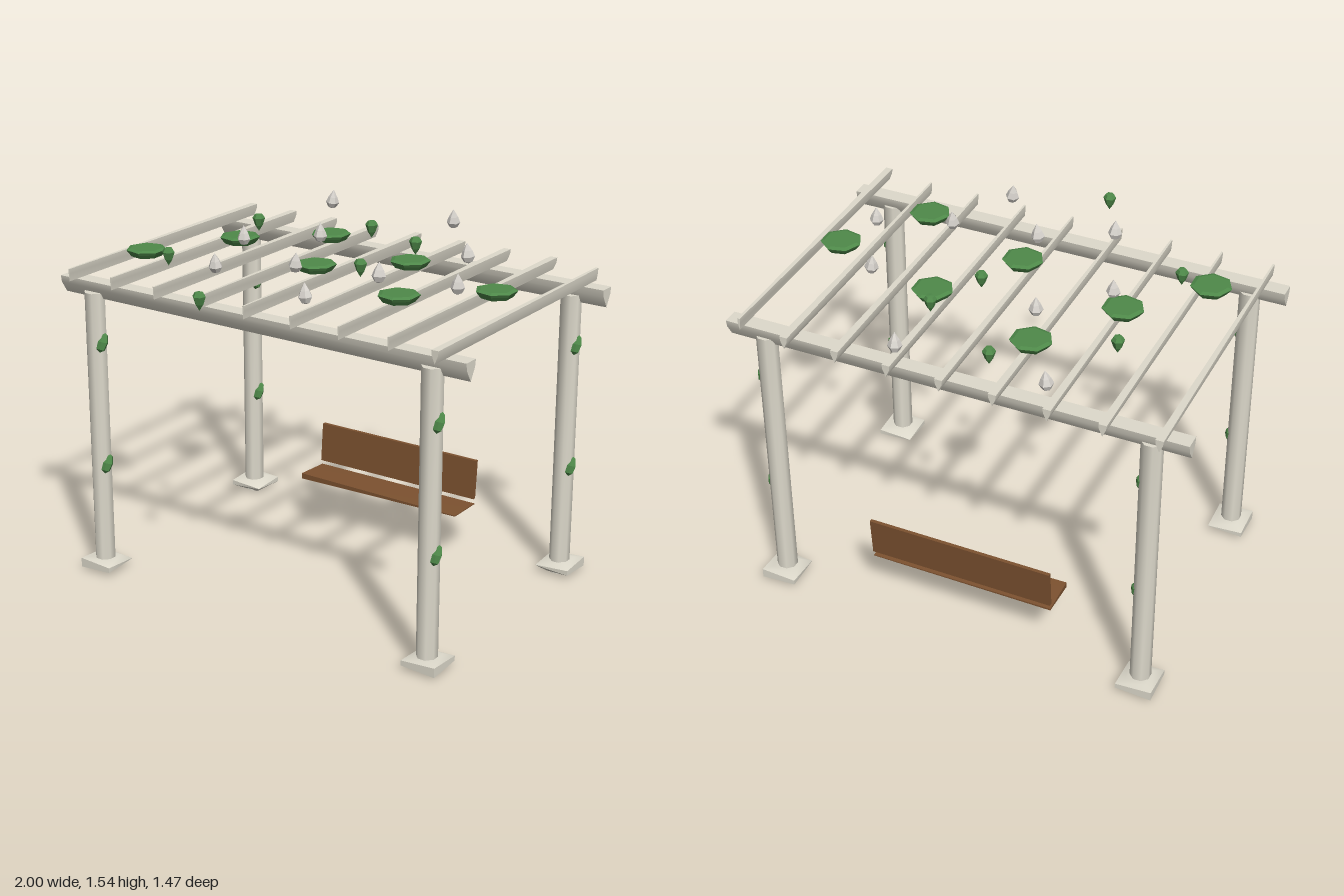
import * as THREE from 'three';
import { toCreasedNormals } from 'three/addons/utils/BufferGeometryUtils.js';

const material = (color, flatShading = false) =>
  new THREE.MeshStandardMaterial({ color, flatShading });

// Closed solid through rings of 3D points, counter-clockwise seen from the end
function loft(rings, crease = 0.9) {
  const n = rings[0].length, last = (rings.length - 1) * n, index = [];
  for (let i = 0; i < rings.length - 1; i++) {
    for (let j = 0; j < n; j++) {
      const a = i * n + j, b = i * n + (j + 1) % n;
      index.push(a, b, b + n, a, b + n, a + n);
    }
  }
  for (let j = 1; j < n - 1; j++) {
    index.push(0, j + 1, j, last, last + j, last + j + 1);
  }
  const g = new THREE.BufferGeometry();
  g.setAttribute('position', new THREE.Float32BufferAttribute(rings.flat(2), 3));
  g.setIndex(index);
  return toCreasedNormals(g, crease);
}

// Keel-shaped cross-section: flat top, pointed underside
const keel = (w, top, bottom, z) => {
  const shoulder = top - (top - bottom) * 0.38;
  return [[-w, top, z], [-w * 0.85, shoulder, z], [0, bottom, z],
    [w * 0.85, shoulder, z], [w, top, z]];
};

export function createModel() {
  const model = new THREE.Group();
  model.name = 'pergola';
  const paint = material(0xdedacc), wood = material(0x7d5230);
  const petal = material(0xd6d2cc, true), green = material(0x4f8a4a, true);

  const add = (name, geometry, mat, x = 0, y = 0, z = 0, parent = model) => {
    const mesh = new THREE.Mesh(geometry, mat);
    mesh.name = name;
    mesh.position.set(x, y, z);
    parent.add(mesh);
    return mesh;
  };

  // Posts, each with a wedge-edged foot and two climbing leaves
  const postGeo = toCreasedNormals(
    new THREE.CylinderGeometry(0.045, 0.045, 1.285, 8).rotateY(Math.PI / 8), 0.9);
  const leafGeo = new THREE.SphereGeometry(1, 6, 4).scale(0.026, 0.046, 0.028);
  const corners = [[1, 1], [1, -1], [-1, -1], [-1, 1]];
  for (const s of [-1, 1]) {
    for (const [q, z] of [[1, 0.5], [-1, -0.615]]) {
      const post = new THREE.Group();
      post.name = (q > 0 ? 'front' : 'back') + (s > 0 ? 'Left' : 'Right') + 'Post';
      post.position.set(s * 0.838, 0, z);
      model.add(post);
      add('postShaft', postGeo, paint, 0, 0.6475, 0, post);

      // The foot's rim is thick on the outside and thin on the inside
      const ring = (r, y, side) => corners.map(([x, d]) =>
        [x * r, y + side * (0.011 + 0.005 * (x * s + d * q)), d * r]);
      add('foot', loft([ring(0.04, 0.005, 0), ring(0.079, 0.037, -1),
        ring(0.079, 0.037, 1), ring(0.045, 0.062, 0)]), paint, 0, 0, -0.006, post);

      for (const y of [0.515, 1.07]) {
        add('climbingLeaf', leafGeo, green, 0.035, y, 0.005, post).rotation.x = -0.4;
      }
    }
  }

  // Long beams along x
  const beamGeo = loft([keel(0.035, 1.34, 1.262, -1), keel(0.035, 1.337, 1.255, 1)])
    .rotateY(Math.PI / 2);
  add('frontBeam', beamGeo, paint, 0, 0, 0.492);
  add('backBeam', beamGeo, paint, 0, 0, -0.622);

  // Rafters taper towards the front; the last one tapers towards the back
  const rafterGeo = loft([keel(0.017, 1.395, 1.34, -0.735), keel(0.004, 1.395, 1.34, 0.575)]);
  const endRafterGeo = loft([keel(0.006, 1.395, 1.34, -0.695), keel(0.016, 1.395, 1.34, 0.61)]);
  for (let i = 0; i < 9; i++) {
    add('rafter', i < 8 ? rafterGeo : endRafterGeo, paint, -0.908 + i * 0.2275);
  }

  // Bench: wedge-shaped seat and a slightly reclined back
  const w = 0.415;
  const seatRing = (z, h, k) => [[-w, 0.232 - h, z], [w, 0.232 - k, z],
    [w, 0.232 + k, z], [-w, 0.232 + h, z]];
  add('seat', loft([seatRing(-0.585, 0.004, 0.002), seatRing(-0.415, 0.013, 0.002)]), wood);
  const backRing = (z) => [[-w, 0.258, z], [w, 0.258, z],
    [w, 0.438, z - 0.015], [-w, 0.438, z - 0.015]];
  add('seatBack', loft([backRing(-0.59), backRing(-0.574)]), wood);

  // Flat foliage clumps lying on the rafters
  const lathe = (points, sides) =>
    new THREE.LatheGeometry(points.map(([r, y]) => new THREE.Vector2(r, y)), sides);
  const clumpGeo = lathe([[0, -0.02], [0.066, -0.017], [0.08, 0], [0.088, 0.012], [0.07, 0.018],
    [0, 0.018]], 7);
  [0.26, -0.065, -0.39, 0.095, -0.23, 0.26, -0.065].forEach((z, i) => {
    add('foliageClump', clumpGeo, green, -0.745 + i * 0.255, i % 2 ? 1.445 : 1.424, z)
      .rotation.y = 0.25;
  });

  // Pale flower buds pointing up: x, middle height, z
  const budGeo = lathe([[0, -0.043], [0.018, -0.036], [0.03, -0.014], [0.02, 0.012], [0, 0.045]], 6);
  const buds = [[-0.43, 1.495, -0.69], [-0.185, 1.48, -0.235], [0.2, 1.495, -0.705],
    [0.535, 1.5, -0.26], [0.7, 1.485, 0.095], [0.385, 1.5, 0.18], [0.02, 1.495, 0.24],
    [-0.42, 1.485, 0], [-0.26, 1.487, 0.41], [0.26, 1.477, 0.515]];
  buds.forEach(([x, y, z], i) => {
    add('flowerBud', budGeo, petal, x, y, z).rotation.set(0, i, (i % 3 - 1) * 0.12);
  });

  // Green leaf tips pointing down
  const tipGeo = lathe([[0, -0.042], [0.017, -0.015], [0.028, 0.018], [0.018, 0.034], [0, 0.036]], 6);
  const tips = [[-0.565, 1.455, -0.305], [-0.13, 1.435, -0.555], [0.22, 1.46, -0.36],
    [0.135, 1.42, -0.065], [-0.61, 1.43, 0.28], [-0.115, 1.43, 0.705]];
  tips.forEach(([x, y, z], i) => {
    add('leafTip', tipGeo, green, x, y, z).rotation.y = i;
  });

  return model;
}
